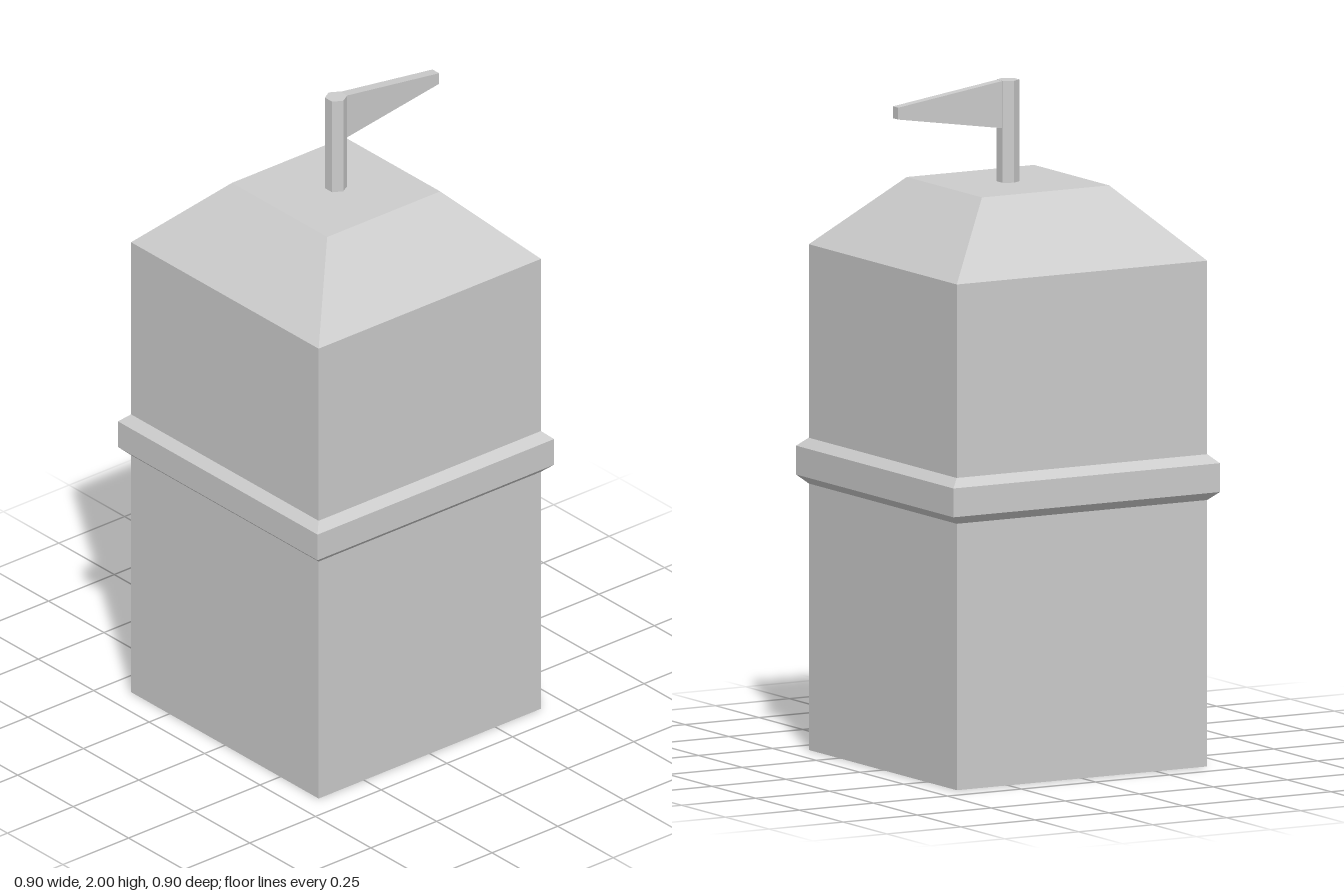
import * as THREE from 'three';

const material = new THREE.MeshStandardMaterial({ color: 0xcccccc, flatShading: true });

function addPart(group, name, geometry) {
  const mesh = new THREE.Mesh(geometry, material);
  mesh.name = name;
  group.add(mesh);
  return mesh;
}

// Square section swept up a profile of [half width, height] pairs
function squareTower(profile) {
  const points = profile.map(([half, y]) => new THREE.Vector2(half * Math.SQRT2, y));
  return new THREE.LatheGeometry(points, 4, Math.PI / 4);
}

export function createModel() {
  const group = new THREE.Group();
  group.name = 'tower';

  // Tower walls, band and truncated roof meet edge to edge
  addPart(group, 'lowerWalls', squareTower([[0, 0], [0.423, 0], [0.423, 0.785]]));
  addPart(group, 'band', squareTower([[0.423, 0.785], [0.45, 0.81], [0.45, 0.895], [0.423, 0.92]]));
  addPart(group, 'upperWalls', squareTower([[0.423, 0.92], [0.423, 1.49]]));
  addPart(group, 'roof', squareTower([[0.423, 1.49], [0.215, 1.7], [0, 1.7]]));

  // Hexagonal flagpole
  const pole = addPart(group, 'flagpole', new THREE.CylinderGeometry(0.033, 0.033, 0.3, 6));
  pole.position.y = 1.85;

  // Tapered pennant
  const outline = new THREE.Shape([
    new THREE.Vector2(0.025, 1.86),
    new THREE.Vector2(0.38, 1.915),
    new THREE.Vector2(0.38, 1.95),
    new THREE.Vector2(0.025, 2.0),
  ]);
  const pennant = addPart(group, 'pennant',
    new THREE.ExtrudeGeometry(outline, { depth: 0.03, bevelEnabled: false }));
  pennant.position.z = -0.015;

  return group;
}
